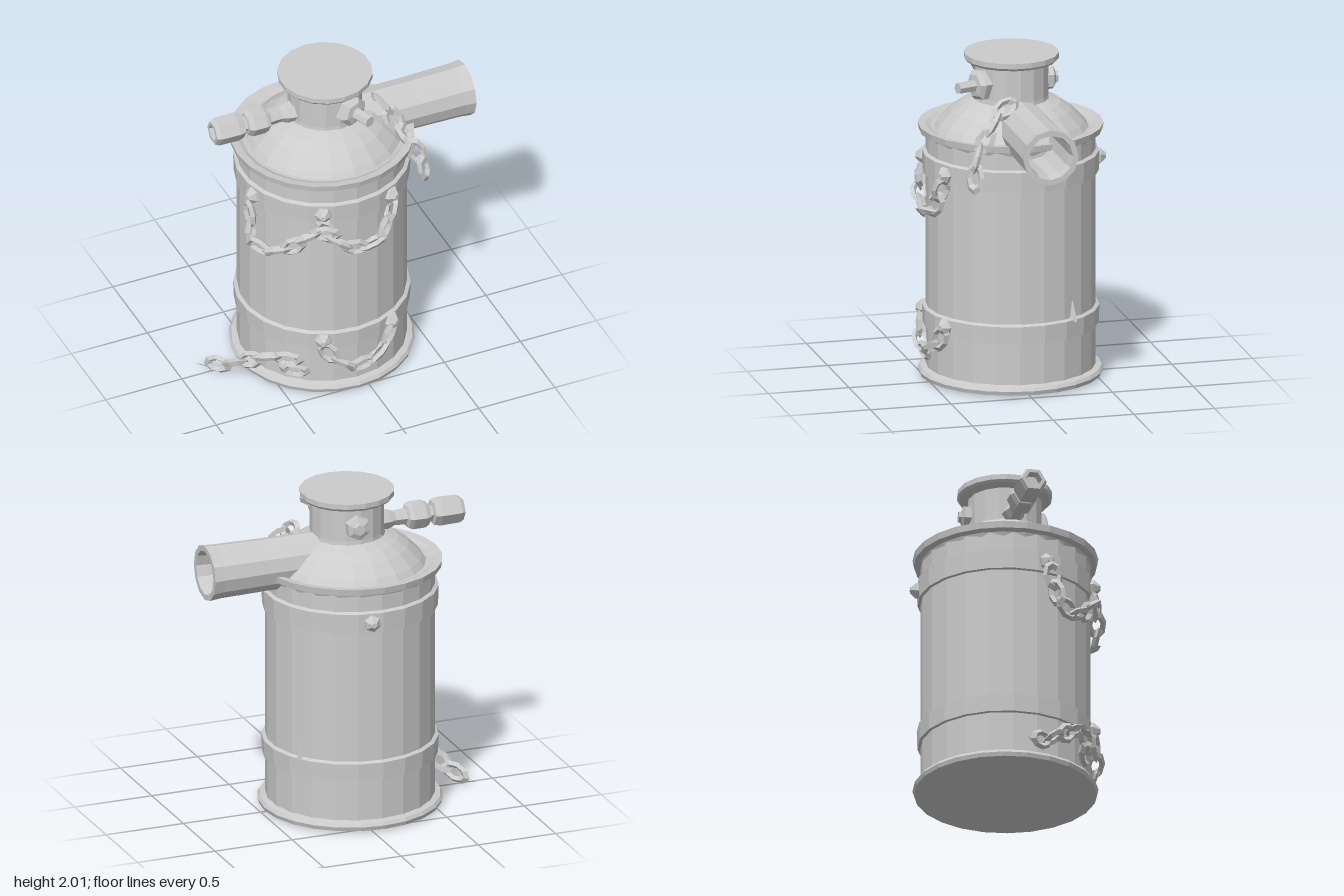
import * as THREE from 'three';

const CX = -0.07, CZ = -0.02; // axis of the tank
const mat = new THREE.MeshStandardMaterial({ color: 0xcccccc, flatShading: true, side: THREE.DoubleSide });

function part(parent, name, geometry) {
  const m = new THREE.Mesh(geometry, mat);
  m.name = name;
  parent.add(m);
  return m;
}

// Turned part from [radius, y] pairs, around a vertical axis
function turned(parent, name, profile, sides, x = CX, z = CZ) {
  const m = part(parent, name, new THREE.LatheGeometry(profile.map(p => new THREE.Vector2(...p)), sides));
  m.position.set(x, 0, z);
  return m;
}

// Point around the tank; angle 0 faces the front
const around = (a, y, r) => new THREE.Vector3(CX + r * Math.sin(a), y, CZ + r * Math.cos(a));

// Turn a part whose axis is +y so that it points outward at an angle
function pointOut(obj, a) {
  obj.quaternion.setFromUnitVectors(new THREE.Vector3(0, 1, 0), new THREE.Vector3(Math.sin(a), 0, Math.cos(a)));
}

// Faceted stud on a band
function stud(parent, a, y) {
  const profile = [[0.055, -0.04], [0.052, 0.01], [0.018, 0.045], [0, 0.045]];
  const m = turned(parent, 'stud', profile, 6, 0, 0);
  m.position.copy(around(a, y, 0.53));
  pointOut(m, a);
}

// One oval link, long axis along dir, rolled about that axis
function link(parent, pos, dir, roll) {
  const g = new THREE.TorusGeometry(0.045, 0.019, 4, 8);
  g.scale(1.6, 1, 1);
  const m = part(parent, 'link', g);
  const out = new THREE.Vector3(pos.x - CX, 0, pos.z - CZ).normalize();
  const side = new THREE.Vector3().crossVectors(out, dir).normalize();
  const normal = new THREE.Vector3().crossVectors(dir, side).normalize();
  m.quaternion.setFromRotationMatrix(new THREE.Matrix4().makeBasis(dir, side, normal));
  m.rotateX(roll);
  m.position.copy(pos);
}

// Links alternating in roll along a curve
function chain(parent, name, points) {
  const g = new THREE.Group();
  g.name = name;
  parent.add(g);
  const curve = new THREE.CatmullRomCurve3(points);
  const n = Math.max(2, Math.round(curve.getLength() / 0.125));
  for (let i = 0; i < n; i++) {
    const t = (i + 0.5) / n;
    link(g, curve.getPointAt(t), curve.getTangentAt(t), i % 2 ? 1.2 : 0.2);
  }
}

export function createModel() {
  const model = new THREE.Group();
  model.name = 'tank';

  // Tank shell, foot and rim
  turned(model, 'foot', [[0, 0.005], [0.55, 0.005], [0.558, 0.03], [0.545, 0.05], [0.505, 0.06]], 24);
  turned(model, 'body', [[0.51, 0.03], [0.51, 1.52]], 22);
  turned(model, 'rim', [[0.505, 1.48], [0.515, 1.505], [0.55, 1.515], [0.557, 1.555], [0.51, 1.55], [0.48, 1.535], [0.4, 1.535]], 24);

  // Bands
  for (const [name, y0, y1] of [['lowerBand', 0.31, 0.44], ['upperBand', 1.255, 1.4]]) {
    turned(model, name, [[0.5, y0], [0.528, y0 + 0.005], [0.532, y1 - 0.015], [0.5, y1]], 22);
  }
  for (const a of [-1.32, -0.41, 0.48, Math.PI - 0.13]) stud(model, a, 1.325);
  for (const a of [-0.41, 0.48]) stud(model, a, 0.38);

  // Shoulder, neck and lid
  const NX = -0.05;
  turned(model, 'shoulder', [[0.47, 1.53], [0.44, 1.57], [0.365, 1.645], [0.3, 1.69], [0.22, 1.72]], 20, -0.06);
  turned(model, 'neck', [[0.23, 1.68], [0.223, 1.74], [0.223, 1.94]], 16, NX);
  turned(model, 'lid', [[0.222, 1.94], [0.272, 1.952], [0.286, 1.968], [0.286, 2], [0, 2]], 18, NX);

  // Wide open pipe on the left side
  const pipe = turned(model, 'pipe', [[0.16, 0.1], [0.16, 0.5], [0.165, 0.8], [0.172, 0.87], [0.138, 0.87], [0.13, 0.8], [0.13, 0.25], [0, 0.25]], 12, 0);
  pipe.rotation.z = -Math.PI / 2;
  pipe.position.y = 1.588;

  // Narrow nozzle with two hex nuts on the right side
  const nozzle = turned(model, 'nozzle', [
    [0.07, 0.25], [0.06, 0.31], [0.045, 0.35], [0.05, 0.425], [0.075, 0.435], [0.086, 0.46], [0.086, 0.54], [0.07, 0.57],
    [0.05, 0.575], [0.05, 0.595], [0.078, 0.6], [0.088, 0.64], [0.085, 0.765], [0.072, 0.79], [0.05, 0.79], [0.045, 0.73], [0, 0.73]], 6, 0);
  nozzle.rotation.z = Math.PI / 2;
  nozzle.position.y = 1.765;

  // Plugs on the neck: one with a pin at the front, a plain one behind
  const plugs = [
    ['frontPlug', 0.34, [[0.1, 0.2], [0.1, 0.245], [0.075, 0.27], [0.038, 0.275], [0.035, 0.39], [0, 0.39]]],
    ['backPlug', Math.PI - 0.1, [[0.08, 0.2], [0.075, 0.25], [0.04, 0.265], [0.035, 0.28], [0, 0.28]]]];
  for (const [name, a, profile] of plugs) {
    const plug = turned(model, name, profile, 6, NX);
    plug.position.y = 1.83;
    pointOut(plug, a);
  }

  // Chains hung from the studs
  const hang = list => list.map(([a, y, r]) => around(a, y, r));
  chain(model, 'upperSideChain', hang([[-1.3, 1.28, 0.57], [-1.27, 1.17, 0.57], [-1.22, 1.06, 0.59], [-1.02, 1.02, 0.57],
    [-0.78, 1.07, 0.55], [-0.6, 1.16, 0.55], [-0.4, 1.2, 0.55], [-0.28, 1.18, 0.55]]));
  chain(model, 'upperFrontChain', hang([[-0.41, 1.27, 0.54], [-0.33, 1.16, 0.54], [-0.15, 1.1, 0.55], [0.05, 1.06, 0.55],
    [0.25, 1.08, 0.55], [0.4, 1.18, 0.54], [0.48, 1.29, 0.55]]));
  chain(model, 'lowerFrontChain', hang([[-0.41, 0.35, 0.54], [-0.28, 0.25, 0.54], [-0.05, 0.18, 0.54],
    [0.2, 0.2, 0.54], [0.38, 0.28, 0.54], [0.48, 0.36, 0.54]]));
  const V = (x, y, z) => new THREE.Vector3(x, y, z);
  chain(model, 'fallenChain', [V(-0.81, 0.04, -0.02), V(-0.75, 0.07, 0.06), V(-0.67, 0.15, 0.18), V(-0.58, 0.23, 0.29), V(-0.42, 0.24, 0.41)]);
  chain(model, 'pipeChain', [V(0.25, 1.76, 0.05), V(0.29, 1.71, 0.15), V(0.34, 1.6, 0.23), V(0.4, 1.48, 0.31), V(0.45, 1.31, 0.34)]);
  link(model, V(-0.43, 0.15, 0.38), V(0.8, -0.25, 0.35).normalize(), 0.2);

  // Small burrs: a spike on the lower band, a tail on the fallen chain
  const burr = part(model, 'bandBurr', new THREE.ConeGeometry(0.04, 0.13, 3));
  burr.position.set(0.36, 0.48, -0.29);
  const tail = part(model, 'chainTail', new THREE.ConeGeometry(0.012, 0.12, 3));
  tail.position.set(-0.83, 0.015, -0.04);
  tail.quaternion.setFromUnitVectors(V(0, 1, 0), V(-0.75, 0.05, -0.66).normalize());

  return model;
}
